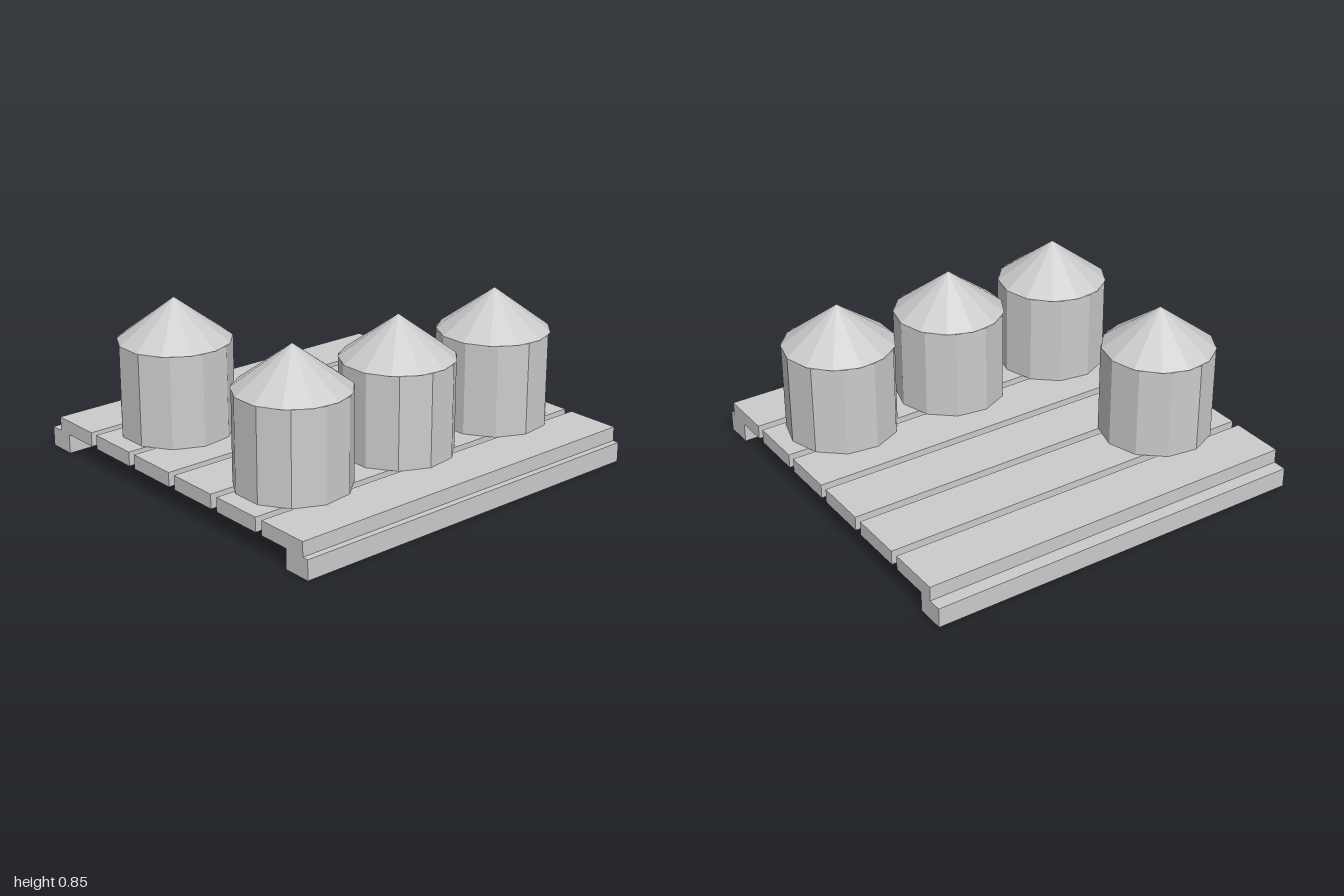
import * as THREE from 'three';

const material = new THREE.MeshStandardMaterial({ color: 0xcccccc, flatShading: true });

function add(parent, name, geometry, x, y, z) {
  const mesh = new THREE.Mesh(geometry, material);
  mesh.name = name;
  mesh.position.set(x, y, z);
  parent.add(mesh);
}

export function createModel() {
  const model = new THREE.Group();
  model.name = 'siloPlatform';

  // Two beams carrying the deck at front and back
  const beam = new THREE.BoxGeometry(2, 0.1, 0.145);
  add(model, 'frontBeam', beam, 0, 0.05, 0.9275);
  add(model, 'backBeam', beam, 0, 0.05, -0.9275);

  // Six deck planks with narrow gaps
  const plank = new THREE.BoxGeometry(2, 0.073, 0.28);
  for (let i = 0; i < 6; i++) {
    add(model, 'plank', plank, 0, 0.1365, -0.79 + i * 0.3235);
  }

  // Faceted silos: drum and pointed roof, each with a corner on +x
  const radius = 0.283;
  const drum = new THREE.CylinderGeometry(radius, radius, 0.467, 11, 1, false, Math.PI / 2);
  const roof = new THREE.ConeGeometry(radius, 0.211, 13, 1, false, Math.PI / 2);
  for (const [x, z] of [[-0.64, 0.468], [0, 0.468], [0.64, 0.468], [-0.64, -0.427]]) {
    const silo = new THREE.Group();
    silo.name = 'silo';
    silo.position.set(x, 0.173, z);
    add(silo, 'drum', drum, 0, 0.2335, 0);
    add(silo, 'roof', roof, 0, 0.5725, 0);
    model.add(silo);
  }
  return model;
}
